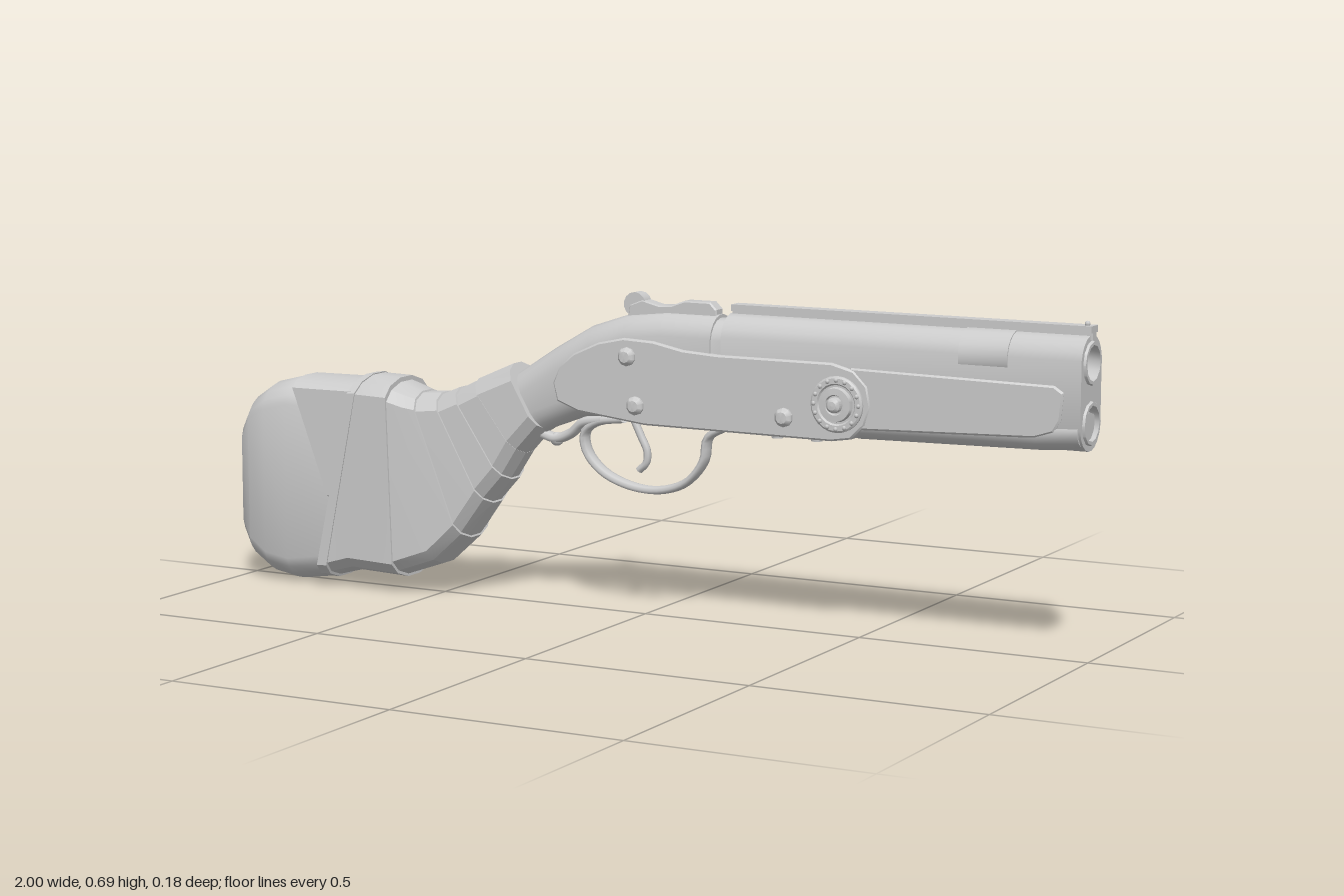
import * as THREE from 'three';
import { toCreasedNormals } from 'three/addons/utils/BufferGeometryUtils.js';

const material = new THREE.MeshStandardMaterial({ color: 0xcccccc, side: THREE.DoubleSide });

// Rounded cross-section between a top and a bottom point; w is half width, r the corner height.
function ring([tx, ty], [bx, by], w, r, n, grow = 0) {
  const len = Math.hypot(tx - bx, ty - by);
  const ux = (tx - bx) / len, uy = (ty - by) / len;
  const half = len / 2 + grow, c = Math.min(r, half), k = Math.cos(Math.PI / n);
  return Array.from({ length: n }, (_, i) => {
    const a = ((i + 0.5) / n) * Math.PI * 2;
    const h = Math.sign(Math.cos(a)) * (half - c) + (c * Math.cos(a)) / k;
    return [(tx + bx) / 2 + ux * h, (ty + by) / 2 + uy * h, ((w + grow) * Math.sin(a)) / k];
  });
}

// Skin over a series of rings, with both ends capped and faces turned outward.
function loft(rings, crease) {
  const n = rings[0].length, pos = rings.flat(2), idx = [];
  for (let s = 0; s < rings.length - 1; s++)
    for (let i = 0; i < n; i++) {
      const a = s * n + i, b = s * n + ((i + 1) % n);
      idx.push(a, b, a + n, b, b + n, a + n);
    }
  const e = (rings.length - 1) * n;
  for (let i = 1; i < n - 1; i++) idx.push(0, i + 1, i, e, e + i, e + i + 1);
  const v = (i) => new THREE.Vector3().fromArray(pos, i * 3);
  const origin = v(0);
  let volume = 0;
  for (let i = 0; i < idx.length; i += 3) {
    const [p, q, t] = [0, 1, 2].map((j) => v(idx[i + j]).sub(origin));
    volume += p.dot(q.cross(t));
  }
  if (volume < 0) idx.reverse();
  const g = new THREE.BufferGeometry();
  g.setAttribute('position', new THREE.Float32BufferAttribute(pos, 3));
  g.setIndex(idx);
  return toCreasedNormals(g, crease);
}

const points = (list) => list.map(([x, y]) => new THREE.Vector2(x, y));
const curve = (list) => new THREE.CatmullRomCurve3(list.map(([x, y]) => new THREE.Vector3(x, y, 0)));

export function createModel() {
  const group = new THREE.Group();
  const add = (name, geometry, x = 0, y = 0, z = 0, parent = group) => {
    const mesh = new THREE.Mesh(geometry, material);
    mesh.name = name;
    mesh.position.set(x, y, z);
    parent.add(mesh);
    return mesh;
  };

  // Rounded butt: x, bottom, top, half width
  const butt = [
    [-0.66, 0.05, 0.44, 0.075], [-0.78, 0.012, 0.45, 0.08], [-0.86, 0, 0.455, 0.083],
    [-0.92, 0.01, 0.44, 0.082], [-0.965, 0.038, 0.41, 0.076], [-0.99, 0.075, 0.37, 0.064], [-1, 0.11, 0.33, 0.05],
  ];
  add('butt', loft(butt.map(([x, b, t, w]) => ring([x, t], [x, b], w, 0.065, 20)), 0.7));

  // Overlapping wrapped bands on the grip: lists of [top, bottom, half width]
  const bands = [
    [[[-0.31, 0.515], [-0.235, 0.385], 0.056], [[-0.4, 0.48], [-0.285, 0.325], 0.061]],
    [[[-0.395, 0.475], [-0.285, 0.33], 0.058], [[-0.445, 0.455], [-0.32, 0.27], 0.061]],
    [[[-0.445, 0.455], [-0.32, 0.27], 0.061], [[-0.49, 0.44], [-0.365, 0.215], 0.066]],
    [[[-0.49, 0.44], [-0.365, 0.215], 0.066], [[-0.54, 0.44], [-0.42, 0.135], 0.073]],
    [[[-0.54, 0.44], [-0.42, 0.135], 0.073], [[-0.565, 0.45], [-0.49, 0.068], 0.08], [[-0.6, 0.462], [-0.585, 0.035], 0.085]],
    [[[-0.595, 0.466], [-0.58, 0.035], 0.085], [[-0.675, 0.472], [-0.7, 0.035], 0.087], [[-0.68, 0.47], [-0.775, 0.015], 0.086]],
  ];
  bands.forEach((band, i) =>
    add(`gripBand${i + 1}`, loft(band.map(([t, b, w], j) => ring(t, b, w, 0.05, 12, j ? 0 : 0.004)), 0.35)));
  // Edge strip of the rearmost band and the diagonal wrap behind it
  add('wrapEdge', loft([ring([-0.665, 0.474], [-0.76, 0.014], 0.089, 0.05, 12), ring([-0.685, 0.472], [-0.785, 0.013], 0.089, 0.05, 12)], 0.35));
  add('diagonalWrap', loft([ring([-0.675, 0.462], [-0.735, 0.185], 0.086, 0.03, 12), ring([-0.845, 0.46], [-0.742, 0.185], 0.086, 0.03, 12)], 0.35));

  // Curved wrist and receiver core
  const core = [
    [[-0.4, 0.44], [-0.31, 0.33], 0.045], [[-0.3, 0.5], [-0.22, 0.385], 0.047], [[-0.21, 0.558], [-0.14, 0.415], 0.049],
    [[-0.12, 0.61], [-0.08, 0.42], 0.051], [[-0.03, 0.64], [-0.01, 0.417], 0.053], [[0.06, 0.65], [0.06, 0.415], 0.054],
    [[0.18, 0.65], [0.18, 0.415], 0.054],
  ];
  add('receiver', loft(core.map(([t, b, w]) => ring(t, b, w, 0.055, 20)), 0.7));
  add('hingeGap', loft([0.17, 0.215].map((x) => ring([x, 0.643], [x, 0.42], 0.05, 0.05, 20)), 0.7));

  // Stacked barrel block, bored from the muzzle
  const boreY = [0.6, 0.48];
  const outline = ring([0, 0.655], [0, 0.425], 0.054, 0.055, 20).map(([, y, z]) => [z, y]);
  const block = new THREE.Shape(points(outline));
  boreY.forEach((y) => block.holes.push(new THREE.Path().absarc(0, y, 0.038, 0, Math.PI * 2, true)));
  const barrel = new THREE.ExtrudeGeometry(block, { depth: 0.79, bevelEnabled: false, curveSegments: 12 });
  add('barrels', toCreasedNormals(barrel.rotateY(Math.PI / 2), 0.7), 0.205);
  boreY.forEach((y, i) => {
    const rim = new THREE.LatheGeometry(points([[0.036, -0.05], [0.036, 0.005], [0.043, 0.005], [0.045, 0], [0.045, -0.005]]), 12);
    add('muzzleRim', toCreasedNormals(rim.rotateZ(-Math.PI / 2), 0.6), 0.995, y);
    add('borePlug', new THREE.CylinderGeometry(0.039, 0.039, 0.02, 12).rotateZ(Math.PI / 2), i ? 0.95 : 0.6, y);
  });
  // Thin barrel sleeve with a gap for the fore-end below
  add('barrelSleeve', loft([0.735, 0.84].map((x) => ring([x, 0.657], [x, 0.55], 0.0565, 0.057, 20)), 0.7));

  // Sight rib and bead
  add('sightRib', new THREE.BoxGeometry(0.79, 0.014, 0.034), 0.605, 0.667);
  add('ribBase', new THREE.BoxGeometry(0.79, 0.016, 0.02), 0.605, 0.655);
  add('frontBead', new THREE.SphereGeometry(0.006, 8, 6), 0.985, 0.677);

  // Flat parts extruded evenly about the centre plane
  const slab = (name, list, halfWidth, bevel = 0.004) => {
    const g = new THREE.ExtrudeGeometry(new THREE.Shape(points(list)), {
      depth: 2 * (halfWidth - bevel), bevelThickness: bevel, bevelSize: bevel, bevelOffset: -bevel, bevelSegments: 1,
    });
    return add(name, toCreasedNormals(g.translate(0, 0, bevel - halfWidth), 0.5));
  };
  slab('sidePlates', [
    [-0.19, 0.49], [-0.175, 0.525], [-0.14, 0.555], [-0.08, 0.582], [-0.02, 0.595], [0.05, 0.592], [0.12, 0.578], [0.2, 0.573],
    [0.46, 0.573], [0.51, 0.56], [0.54, 0.53], [0.548, 0.49], [0.535, 0.45], [0.505, 0.42], [0.46, 0.413],
    [0.03, 0.415], [-0.13, 0.433], [-0.18, 0.452],
  ], 0.062);
  slab('foreEnd', [
    [0.5, 0.565], [0.94, 0.558], [0.96, 0.545], [0.955, 0.49], [0.94, 0.465], [0.9, 0.452], [0.52, 0.44],
  ], 0.059);
  add('foreEndBase', loft([[0.5, 0.415], [0.9, 0.422], [0.99, 0.43]].map(([x, y]) => ring([x, 0.5], [x, y], 0.056, 0.04, 16)), 0.7));

  // Top lever with its thumb knob
  slab('topLever', [
    [-0.035, 0.63], [-0.03, 0.66], [0, 0.672], [0.04, 0.662], [0.07, 0.664], [0.1, 0.675], [0.16, 0.675], [0.175, 0.66], [0.175, 0.63],
  ], 0.016, 0.003);
  add('leverKnob', new THREE.CylinderGeometry(0.026, 0.026, 0.028, 14).rotateX(Math.PI / 2), -0.018, 0.661);

  // Trigger guard, its tail and the trigger
  const tube = (name, list, radius, flatten) => {
    const mesh = add(name, new THREE.TubeGeometry(curve(list), 40, radius, 8));
    mesh.scale.z = flatten;
    return mesh;
  };
  tube('triggerGuard', [
    [0.19, 0.415], [0.15, 0.39], [0.14, 0.34], [0.1, 0.292], [0.04, 0.27], [-0.03, 0.272],
    [-0.1, 0.298], [-0.14, 0.34], [-0.145, 0.38], [-0.115, 0.404], [-0.05, 0.415],
  ], 0.009, 2);
  tube('guardTail', [[-0.1, 0.41], [-0.15, 0.4], [-0.18, 0.375], [-0.215, 0.362], [-0.25, 0.37]], 0.011, 1.6);
  add('tailKnob', new THREE.SphereGeometry(0.015, 10, 8), -0.215, 0.36);
  tube('trigger', [[-0.03, 0.42], [-0.01, 0.38], [0.004, 0.35], [0.002, 0.325], [-0.015, 0.308]], 0.008, 1.2);
  [0.31, 0.4].forEach((x) => add('bottomScrew', new THREE.CylinderGeometry(0.014, 0.012, 0.02, 10), x, 0.411));

  // Side fittings, repeated on both faces
  for (const side of [1, -1]) {
    const fittings = new THREE.Group();
    fittings.name = side > 0 ? 'frontFittings' : 'backFittings';
    fittings.rotation.y = side > 0 ? 0 : Math.PI;
    group.add(fittings);
    const turned = (name, profile, x, y, n) =>
      add(name, toCreasedNormals(new THREE.LatheGeometry(points(profile), n).rotateX(Math.PI / 2), 0.6), x * side, y, 0, fittings);

    // Domed pins
    for (const [x, y] of [[-0.01, 0.557], [0.01, 0.455], [0.355, 0.455]])
      turned('pin', [[0.02, 0.055], [0.02, 0.067], [0.017, 0.071], [0.012, 0.076], [0, 0.078]], x, y, 10);

    // Hinge wheel with studs and a centre boss
    turned('hingeWheel', [
      [0.058, 0.055], [0.058, 0.067], [0.054, 0.07], [0.043, 0.07], [0.04, 0.066], [0.036, 0.066], [0.034, 0.076],
      [0.021, 0.077], [0.019, 0.072], [0.016, 0.072], [0.015, 0.084], [0.009, 0.09], [0, 0.092],
    ], 0.475, 0.49, 24);
    for (let i = 0; i < 16; i++) {
      const a = (i / 16) * Math.PI * 2;
      add('wheelStud', new THREE.SphereGeometry(0.005, 6, 4), 0.475 * side + 0.05 * Math.cos(a), 0.49 + 0.05 * Math.sin(a), 0.07, fittings);
    }
  }
  return group;
}
